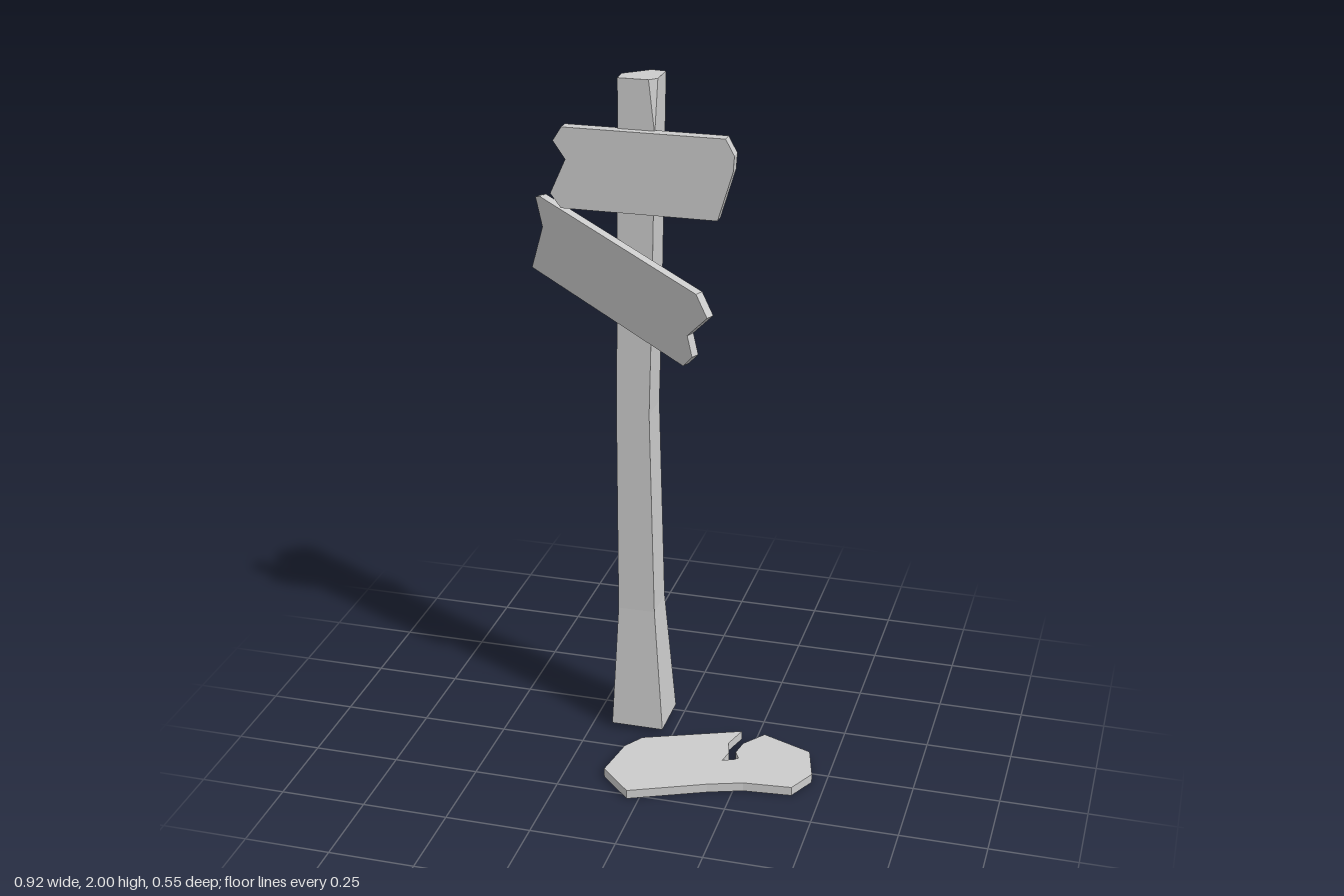
import * as THREE from 'three';

const material = new THREE.MeshStandardMaterial({ color: 0xcccccc, flatShading: true, side: THREE.DoubleSide });

function addMesh(group, name, geometry) {
  const mesh = new THREE.Mesh(geometry, material);
  mesh.name = name;
  group.add(mesh);
}

// Flat plate cut from an outline, thickness running along +z
function plate(outline, depth) {
  const shape = new THREE.Shape(outline.map(([x, y]) => new THREE.Vector2(x, y)));
  return new THREE.ExtrudeGeometry(shape, { depth, bevelEnabled: false });
}

// Skin stacked rings [y, [x, z]...] with a top cap; the foot stays open
function loft(rings) {
  const n = rings[0].length - 1;
  const positions = [];
  const push = (r, i) => {
    const [x, z] = rings[r][1 + (i % n)];
    positions.push(x, rings[r][0], z);
  };
  for (let r = 0; r < rings.length - 1; r++) {
    for (let i = 0; i < n; i++) {
      push(r, i); push(r, i + 1); push(r + 1, i + 1);
      push(r, i); push(r + 1, i + 1); push(r + 1, i);
    }
  }
  const top = rings.length - 1;
  for (let i = 1; i < n - 1; i++) { push(top, 0); push(top, i); push(top, i + 1); }
  const geometry = new THREE.BufferGeometry();
  geometry.setAttribute('position', new THREE.Float32BufferAttribute(positions, 3));
  geometry.computeVertexNormals();
  return geometry;
}

export function createModel() {
  const model = new THREE.Group();
  model.name = 'signpost';

  // Crooked post: four corners per ring, two of them split into hewn chamfers near the top
  const square = (y, fl, fr, br, bl) => [y, fl, fr, fr, br, bl, bl];
  addMesh(model, 'post', loft([
    square(0.015, [-0.187, -0.1], [-0.03, -0.1], [-0.03, -0.257], [-0.187, -0.257]),
    square(0.4, [-0.17, -0.12], [-0.06, -0.12], [-0.06, -0.235], [-0.175, -0.235]),
    square(1.03, [-0.172, -0.122], [-0.075, -0.122], [-0.075, -0.232], [-0.187, -0.232]),
    square(1.33, [-0.168, -0.123], [-0.067, -0.123], [-0.067, -0.232], [-0.18, -0.232]),
    [1.85, [-0.163, -0.125], [-0.058, -0.125], [-0.058, -0.125], [-0.058, -0.232], [-0.115, -0.235], [-0.168, -0.188]],
    [2, [-0.162, -0.125], [-0.075, -0.125], [-0.055, -0.147], [-0.055, -0.231], [-0.097, -0.236], [-0.165, -0.175]],
  ]));

  // Upper board, square to the front
  addMesh(model, 'upperBoard', plate([
    [-0.315, 1.86], [-0.34, 1.82], [-0.305, 1.77], [-0.35, 1.67], [-0.32, 1.63],
    [0.125, 1.63], [0.167, 1.77], [0.17, 1.815], [0.145, 1.86],
  ], 0.035).translate(0, 0, -0.135));

  // Lower board, sheared onto a turned and slightly leaning plane
  const turn = 0.527, lean = 0.061, thickness = 0.025;
  const normal = new THREE.Vector3(-turn, -lean, 1).normalize();
  const slant = new THREE.Matrix4().makeBasis(
    new THREE.Vector3(1, 0, turn), new THREE.Vector3(0, 1, lean), normal);
  slant.setPosition(0, 0, -0.095);
  addMesh(model, 'lowerBoard', plate([
    [-0.436, 1.615], [-0.415, 1.53], [-0.46, 1.395], [0.06, 1.245], [0.09, 1.28],
    [0.075, 1.34], [0.14, 1.41], [0.105, 1.47], [-0.42, 1.62],
  ], thickness).translate(0, 0, -thickness).applyMatrix4(slant));

  // Cracked stone slab lying on the ground, outline given as x, z
  const slab = [
    [0.208, -0.135], [0.185, -0.057], [0.2, -0.007], [0.19, 0.04], [0.224, 0.025], [0.234, 0.015],
    [0.218, -0.015], [0.228, -0.069], [0.278, -0.135], [0.428, -0.074], [0.46, 0.045], [0.418, 0.13],
    [0.278, 0.143], [0.18, 0.177], [-0.034, 0.271], [-0.13, 0.175], [-0.108, 0.037], [-0.07, -0.022],
  ];
  addMesh(model, 'groundSlab', plate(slab.map(([x, z]) => [x, -z]), 0.027).rotateX(-Math.PI / 2));

  return model;
}
